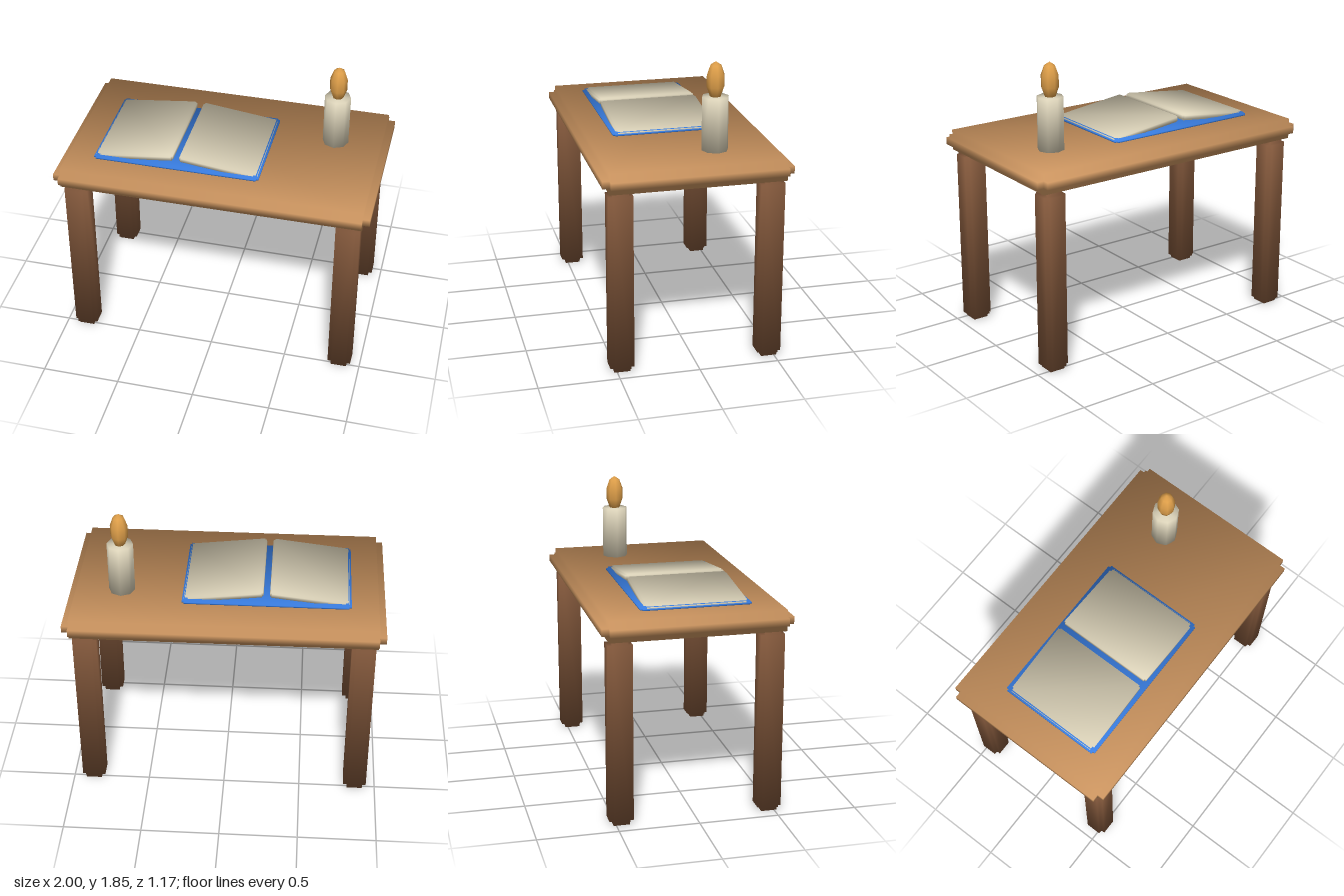
import * as THREE from 'three';

const mat = (name, color) => Object.assign(new THREE.MeshStandardMaterial({ color }), { name });

// Box whose twelve edges are cut by a square notch, with softly shared normals
function notchedBox(w, h, d, notch) {
  const half = [w / 2, h / 2, d / 2];
  const pos = [], nor = [], idx = [], ids = new Map();
  // tip = axis along which the corner point reaches full size; -1 = inner corner
  const vert = (s, tip) => {
    const key = s.join() + '/' + tip;
    if (!ids.has(key)) {
      ids.set(key, pos.length / 3);
      for (let i = 0; i < 3; i++) {
        pos.push(s[i] * (half[i] - (i === tip ? 0 : notch[i])));
        nor.push(s[i] / Math.sqrt(3));
      }
    }
    return ids.get(key);
  };
  const point = (i) => new THREE.Vector3().fromArray(pos, i * 3);
  const quad = (q, axis, sign) => {
    const p = q.map(point);
    const n = p[1].sub(p[0]).cross(p[2].sub(p[0]));
    if (n.getComponent(axis) * sign < 0) q.reverse();
    idx.push(q[0], q[1], q[2], q[0], q[2], q[3]);
  };
  const signs = (a, sa, b, sb, c, sc) => {
    const s = [];
    s[a] = sa; s[b] = sb; s[c] = sc;
    return s;
  };
  for (let a = 0; a < 3; a++) {
    const b = (a + 1) % 3, c = (a + 2) % 3;
    for (const sa of [-1, 1]) {
      // main face
      quad([[-1, -1], [1, -1], [1, 1], [-1, 1]].map(([u, v]) => vert(signs(a, sa, b, u, c, v), a)), a, sa);
      // notch walls next to this face
      for (const [n, along] of [[b, c], [c, b]]) {
        for (const sn of [-1, 1]) {
          const lo = signs(a, sa, n, sn, along, -1), hi = signs(a, sa, n, sn, along, 1);
          quad([vert(lo, a), vert(hi, a), vert(hi, -1), vert(lo, -1)], n, sn);
        }
      }
    }
  }
  const g = new THREE.BufferGeometry();
  g.setAttribute('position', new THREE.Float32BufferAttribute(pos, 3));
  g.setAttribute('normal', new THREE.Float32BufferAttribute(nor, 3));
  g.setIndex(idx);
  return g;
}

export function createModel() {
  const group = new THREE.Group();
  group.name = 'deskWithBookAndCandle';
  const topWood = mat('light wood', 0xcc9560);
  const legWood = mat('dark wood', 0x80563a);
  const ivory = mat('ivory', 0xded5bb);
  const blue = mat('blue cover', 0x3a80e6);
  const fire = mat('flame orange', 0xe0a04a);

  const add = (name, geo, material, x, y, z) => {
    const m = new THREE.Mesh(geo, material);
    m.name = name;
    m.position.set(x, y, z);
    group.add(m);
    return m;
  };

  // Table
  add('tableTop', notchedBox(2, 0.132, 1.166, [0.044, 0.043, 0.042]), topWood, 0, 1.234, 0);
  const legGeo = notchedBox(0.15, 1.168, 0.15, [0.025, 0.028, 0.025]);
  for (const x of [-1, 1]) {
    for (const z of [-1, 1]) {
      add((z > 0 ? 'front' : 'back') + (x > 0 ? 'Left' : 'Right') + 'Leg', legGeo, legWood, x * 0.867, 0.584, z * 0.467);
    }
  }

  // Open book: flat cover with two page blocks rising to the middle
  add('bookCover', notchedBox(1.06, 0.032, 0.69, [0.014, 0.011, 0.014]), blue, -0.255, 1.304, 0.031);
  const pageGeo = notchedBox(0.5, 0.044, 0.64, [0.01, 0.01, 0.012]);
  for (const s of [-1, 1]) {
    const page = add(s < 0 ? 'rightPages' : 'leftPages', pageGeo, ivory, -0.255 + s * 0.269, 1.335, 0.034);
    page.rotation.z = -s * 0.12;
  }

  // Candle with rounded shading across the rims
  const wax = new THREE.CylinderGeometry(0.083, 0.083, 0.336, 8);
  const p = wax.attributes.position, v = new THREE.Vector3();
  for (let i = 0; i < p.count; i++) {
    v.set(p.getX(i) / 0.083, Math.sign(p.getY(i)) * 0.7, p.getZ(i) / 0.083).normalize();
    wax.attributes.normal.setXYZ(i, v.x, v.y, v.z);
  }
  add('candle', wax, ivory, 0.664, 1.468, -0.17);
  const flame = new THREE.SphereGeometry(1, 8, 5);
  flame.scale(0.058, 0.118, 0.058);
  add('flame', flame, fire, 0.664, 1.732, -0.17);

  return group;
}
